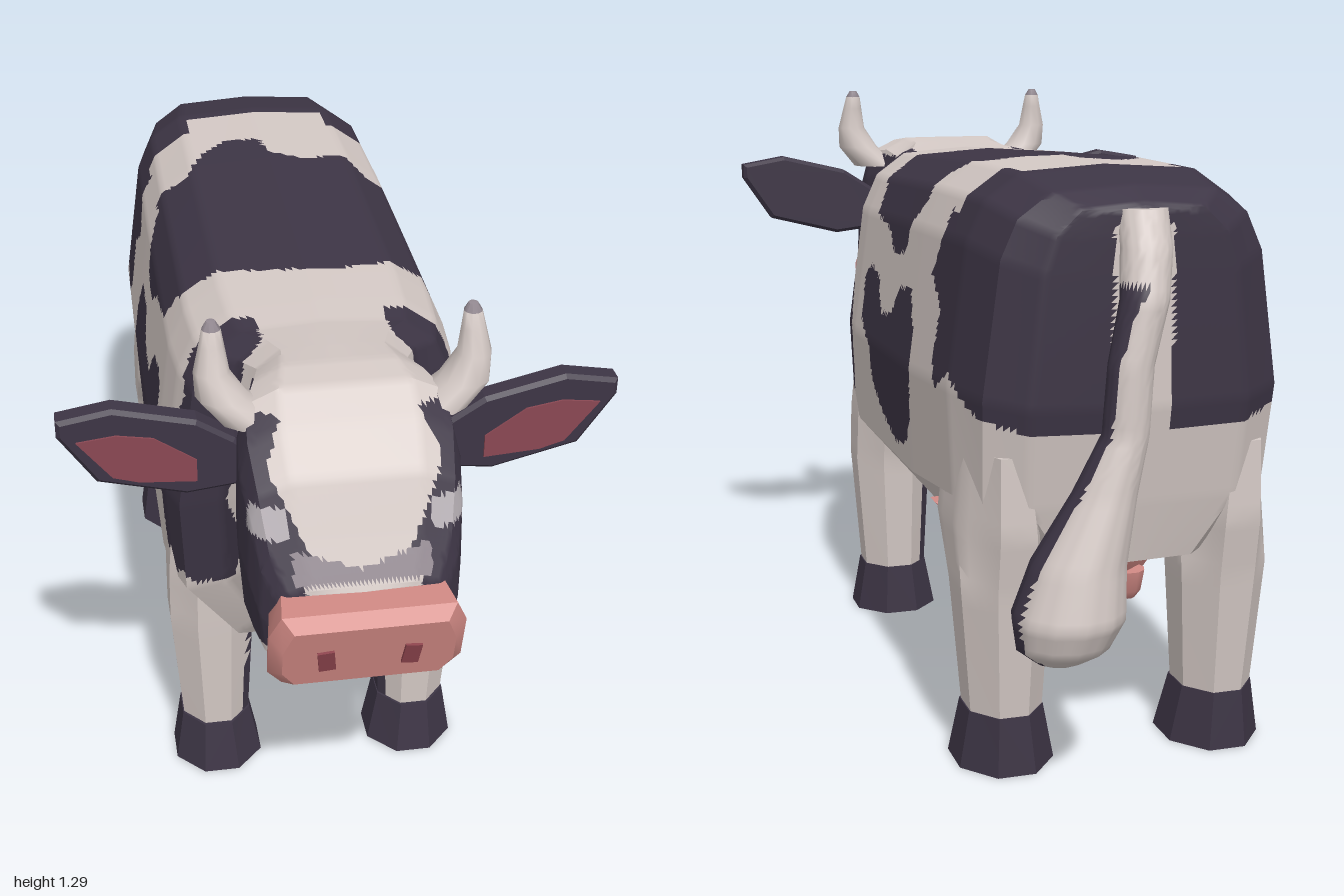
import * as THREE from 'three';
import { toCreasedNormals } from 'three/addons/utils/BufferGeometryUtils.js';

const mat = (name, color) => Object.assign(new THREE.MeshStandardMaterial({ color }), { name });
const white = mat('hide white', 0xd4c9c5), dark = mat('hide dark', 0x3d3545), pink = mat('skin pink', 0xd28a85),
  rose = mat('inner ear rose', 0x8a4853), nostrilRed = mat('nostril red', 0x8c434c),
  grey = mat('shaded grey', 0x91878f), eyeGrey = mat('eye grey', 0xb5aeb3);

// Skin a list of closed rings, splitting long spans so that no cell exceeds the step
function loft(rings, { step = 9, caps = true, crease = 0.6 } = {}) {
  rings = rings.map(r => r.map(p => new THREE.Vector3(...p)));
  if (caps) {
    const middle = r => {
      const c = r.reduce((s, p) => s.add(p), new THREE.Vector3()).divideScalar(r.length);
      return r.map(() => c);
    };
    rings = [middle(rings[0]), ...rings, middle(rings.at(-1))];
  }
  const n = rings[0].length;
  const split = pairs => Math.max(1, Math.ceil(Math.max(...pairs.map(([a, b]) => a.distanceTo(b))) / step));
  const around = rings[0].map((_, j) => split(rings.map(r => [r[j], r[(j + 1) % n]])));
  const fine = rings.map(r => r.flatMap((p, j) =>
    Array.from({ length: around[j] }, (_, k) => p.clone().lerp(r[(j + 1) % n], k / around[j]))));
  const rows = [fine[0]];
  for (let i = 1; i < fine.length; i++) {
    const m = split(fine[i].map((p, j) => [fine[i - 1][j], p]));
    for (let k = 1; k <= m; k++) rows.push(fine[i].map((p, j) => fine[i - 1][j].clone().lerp(p, k / m)));
  }
  const tris = [], w = rows[0].length, u = new THREE.Vector3(), v = new THREE.Vector3();
  let volume = 0;
  const add = (a, b, c) => {
    if (u.subVectors(b, a).cross(v.subVectors(c, a)).length() < 1e-9) return;
    volume += a.dot(u.crossVectors(b, c));
    tris.push([a, b, c]);
  };
  for (let i = 0; i + 1 < rows.length; i++) for (let j = 0; j < w; j++) {
    const k = (j + 1) % w, [p, q] = [rows[i], rows[i + 1]];
    add(p[j], p[k], q[k]);
    add(p[j], q[k], q[j]);
  }
  const pts = tris.flatMap(t => (volume < 0 ? [t[0], t[2], t[1]] : t));
  return toCreasedNormals(new THREE.BufferGeometry().setFromPoints(pts), crease);
}

// Sort triangles into material groups by the colour rule at their centre
function paint(geo, rule) {
  const p = geo.attributes.position, byMat = new Map(), index = [];
  for (let i = 0; i < p.count; i += 3) {
    const at = f => (p[f](i) + p[f](i + 1) + p[f](i + 2)) / 3;
    const m = rule(at('getX'), at('getY'), at('getZ'));
    if (!byMat.has(m)) byMat.set(m, []);
    byMat.get(m).push(i, i + 1, i + 2);
  }
  const mats = [...byMat.keys()];
  mats.forEach((m, k) => {
    geo.addGroup(index.length, byMat.get(m).length, k);
    for (const i of byMat.get(m)) index.push(i);
  });
  geo.setIndex(index);
  return new THREE.Mesh(geo, mats);
}

function inside(poly, a, b) {
  let hit = false;
  poly.forEach(([x, y], i) => {
    const [X, Y] = poly[(i + 1) % poly.length];
    if ((y > b) !== (Y > b) && a < x + (X - x) * (b - y) / (Y - y)) hit = !hit;
  });
  return hit;
}

// Hide patches: side ones as [z, y], the back one as [x, z]
const shoulder = [[.52, 1.1], [.47, 1.2], [.4, 1.2], [.38, 1.06], [.41, .99], [.36, .86], [.31, .73], [.33, .58], [.38, .53],
  [.44, .57], [.46, .55], [.52, .61], [.55, .72], [.51, .8], [.54, .91], [.52, .99]];
const saddleSide = [[.22, 1.2], [-.26, 1.2], [-.28, 1.13], [-.19, 1.04], [-.17, .98], [-.07, .96], [0, 1.01], [.14, 1.03], [.17, 1.1], [.23, 1.12]];
const flank = [[.2, .885], [.15, .91], [.06, .895], [0, .82], [-.1, .83], [-.155, .9], [-.26, .91], [-.31, .83], [-.315, .75],
  [-.3, .645], [-.26, .575], [-.155, .55], [-.02, .59], [.075, .645], [.09, .725], [.19, .78]];
const rump = [[-.48, 1.2], [-.9, 1.2], [-.9, .67], [-.77, .725], [-.69, .75], [-.61, .795], [-.52, .75], [-.49, .8], [-.5, .91],
  [-.41, .965], [-.46, 1.05], [-.45, 1.1], [-.5, 1.14]];
const cheek = [[.95, .8], [.93, .92], [.9, 1], [.86, 1.08], [.74, 1.16], [.6, 1.15], [.55, 1.1], [.57, .98], [.6, .88],
  [.63, .84], [.6, .78], [.66, .71], [.76, .69], [.86, .71], [.92, .72]];
const saddleTop = [[-.34, -.3], [-.2, -.27], [-.15, -.37], [-.085, -.43], [-.01, -.42], [0, -.34], [.085, -.3], [.165, -.32],
  [.22, -.24], [.34, -.26], [.34, .18], [.22, .2], [.03, .24], [-.18, .2], [-.34, .18]];

function hide(x, y, z) {
  const a = Math.abs(x);
  if (z > .545) {
    if (a > .135 && z > .815 && z < .875 && y > .945 && y < 1) return eyeGrey;
    if (z > .84 && a < .13 && y > .865 && y < .865 + .06 * (.4 + a * 5)) return grey;
    const blaze = y > 1.13 ? .2 : y > 1.06 ? .165 - (y - 1.06) * .5 : y > .9 ? .085 + (y - .9) * .5 : .11;
    return a > blaze && inside(cheek, z, y) ? dark : white;
  }
  if (z > .28) return a > .13 && inside(shoulder, z, y) ? dark : white;
  if (y > 1.1 && a < .29) return inside(saddleTop, x, z) || z < -.59 + (a > .17 ? .09 : 0) ? dark : white;
  if (z < -.8 && a < .06 && y < 1.12) return white;
  return [saddleSide, flank, rump].some(p => inside(p, z, y)) ? dark : white;
}

// Half cross-sections of trunk and head, as [part of half width, part of height]
const trunk = [[0, 1], [.55, .985], [.77, .92], [.88, .82], [1, .46], [.97, .18], [.6, 0], [0, 0]];
const skull = [[0, 1], [.6, 1], [.9, .94], [.98, .8], [1, .45], [.95, .14], [.75, 0], [0, 0]];
// Stations: z, top, bottom, half width, blend from trunk to skull
const stations = [[-.826, 1.13, .43, 0, 0], [-.815, 1.14, .43, .22, 0], [-.765, 1.17, .43, .3, 0], [-.62, 1.195, .41, .33, 0],
  [-.3, 1.195, .37, .335, 0], [.25, 1.17, .37, .335, 0], [.36, 1.165, .38, .325, 0], [.445, 1.16, .39, .3, 0],
  [.5, 1.165, .47, .215, .3], [.56, 1.17, .56, .175, .6], [.63, 1.175, .67, .185, .9], [.7, 1.165, .67, .21, 1],
  [.76, 1.115, .66, .215, 1], [.83, 1.045, .66, .205, 1], [.88, .94, .66, .19, 1], [.92, .86, .665, .16, 1], [.925, .85, .67, 0, 1]];

function section([z, top, bottom, half, t]) {
  const side = trunk.map(([u, v], i) => {
    const y = bottom + (top - bottom) * (v + (skull[i][1] - v) * t);
    const lean = z < -.7 ? Math.max(0, .72 - y) * .2 : 0;
    return [half * (u + (skull[i][0] - u) * t), y, z + lean];
  });
  return [...side, ...side.slice(1, -1).reverse().map(([x, y, w]) => [-x, y, w])];
}

// Level rectangle with cut corners, and level ellipse
const cutRect = (s, x0, x1, z0, z1, y, c = .3) => {
  const cx = (x0 + x1) / 2, cz = (z0 + z1) / 2, hx = (x1 - x0) / 2, hz = (z1 - z0) / 2, k = 1 - 2 * c;
  return [[1, k], [k, 1], [-k, 1], [-1, k], [-1, -k], [-k, -1], [k, -1], [1, -k]].map(([u, v]) => [s * (cx + u * hx), y, cz + v * hz]);
};
const ellipse = (x, y, z, rx, rz = rx, n = 10) => Array.from({ length: n }, (_, i) => {
  const a = i / n * Math.PI * 2;
  return [x + rx * Math.cos(a), y, z + rz * Math.sin(a)];
});

export function createModel() {
  const model = new THREE.Group();
  model.name = 'cow';
  const put = (name, mesh) => { mesh.name = name; model.add(mesh); return mesh; };
  const solid = (name, geo, m) => put(name, new THREE.Mesh(geo, m));

  put('bodyAndHead', paint(loft(stations.map(section), { step: .015, caps: false }), hide));

  // Muzzle, leaning back towards the chin
  const snout = [[.885, .175, .665, .85], [.955, .185, .662, .85], [.983, .162, .68, .825]];
  solid('muzzle', loft(snout.map(([z, h, y0, y1]) =>
    [[h * .85, y0], [h, y0 + .035], [h, y1 - .05], [h * .88, y1], [-h * .88, y1], [-h, y1 - .05], [-h, y0 + .035], [-h * .85, y0]]
      .map(([x, y]) => [x, y, z + (y - .75) * .25]))), pink);

  for (const s of [1, -1]) {
    const side = s > 0 ? 'left' : 'right';
    const nostril = solid(side + 'Nostril', new THREE.BoxGeometry(.032, .052, .008), nostrilRed);
    nostril.position.set(s * .08, .745, .983);
    nostril.rotation.set(.245, 0, -s * .1);

    // Ears
    const plate = (pts, z, depth, bevel) => {
      const shape = new THREE.Shape(pts.map(([x, y]) => new THREE.Vector2(x * s, y)));
      return new THREE.ExtrudeGeometry(shape, { depth, bevelEnabled: bevel > 0, bevelSize: bevel, bevelThickness: bevel, bevelSegments: 1 })
        .translate(0, 0, z);
    };
    solid(side + 'Ear', plate([[.17, 1.0], [.21, 1.04], [.28, 1.085], [.435, 1.122], [.532, 1.105], [.532, 1.08], [.465, .98], [.3, .938], [.2, .95]],
      .635, .034, .008), dark);
    solid(side + 'InnerEar', plate([[.28, 1.01], [.36, 1.065], [.43, 1.077], [.505, 1.068], [.44, .985], [.39, .97], [.28, .962]], .675, .006, 0), rose);

    // Horns with darker tips
    const horn = [[.18, 1.1, .68, .06], [.23, 1.15, .68, .05], [.248, 1.2, .675, .034], [.246, 1.25, .668, .024], [.245, 1.28, .662, .018], [.245, 1.295, .66, .009]];
    put(side + 'Horn', paint(loft(horn.map(([x, y, z, r]) => ellipse(s * x, y, z, r)), { crease: 1 }),
      (x, y) => (y > 1.275 ? grey : white)));

    // Legs and hooves, with dark streaks inside the front pair
    const frontLeg = [[.155, .302, .265, .425, .1], [.14, .325, .245, .437, .4], [.14, .323, .22, .44, .52], [.17, .31, .2, .43, .66]];
    const hindLeg = [[.155, .302, -.735, -.555, .1], [.14, .325, -.765, -.53, .38], [.14, .325, -.785, -.4, .5], [.17, .31, -.78, -.42, .66]];
    const streak = (x, y, z) => (Math.abs(x) < .165 && y < .42 && z > .29 && z < .39 ? dark : white);
    for (const [name, leg] of [['Front', frontLeg], ['Hind', hindLeg]])
      put(side + name + 'Leg', paint(loft(leg.map(r => cutRect(s, ...r)), { step: .04 }), streak));
    solid(side + 'FrontHoof', loft([cutRect(s, .128, .325, .255, .458, 0), cutRect(s, .152, .306, .262, .433, .12)]), dark);
    solid(side + 'HindHoof', loft([cutRect(s, .128, .325, -.75, -.51, 0), cutRect(s, .152, .306, -.74, -.545, .12)]), dark);

    // Teats
    for (const z of [-.35, -.42, -.49])
      solid(side + 'Teat', loft([ellipse(s * .1, .32, z, .038), ellipse(s * .1, .275, z, .03), ellipse(s * .1, .256, z, .016)], { crease: 1 }), pink);
  }

  // Udder
  solid('udder', loft([cutRect(1, -.125, .125, -.51, -.31, .285), cutRect(1, -.15, .15, -.53, -.28, .31),
    cutRect(1, -.22, .22, -.54, -.2, .385), cutRect(1, -.305, .305, -.45, -.34, .48)]), pink);

  // Tail with a swung tuft
  const tail = [[0, 1.13, -.8, .05], [.005, 1.06, -.84, .05], [.02, .97, -.875, .047], [.05, .85, -.887, .044], [.06, .72, -.89, .045],
    [.1, .61, -.89, .062], [.15, .48, -.888, .092], [.17, .38, -.89, .11], [.18, .32, -.885, .09], [.185, .292, -.88, .05]];
  put('tail', paint(loft(tail.map(([x, y, z, r]) => ellipse(x, y, z, r, r, 12)), { step: .02, crease: 1 }),
    (x, y, z) => (y < 1 && z > -.915 && x > .2 - .26 * (y - .3) ? dark : white)));
  return model;
}
